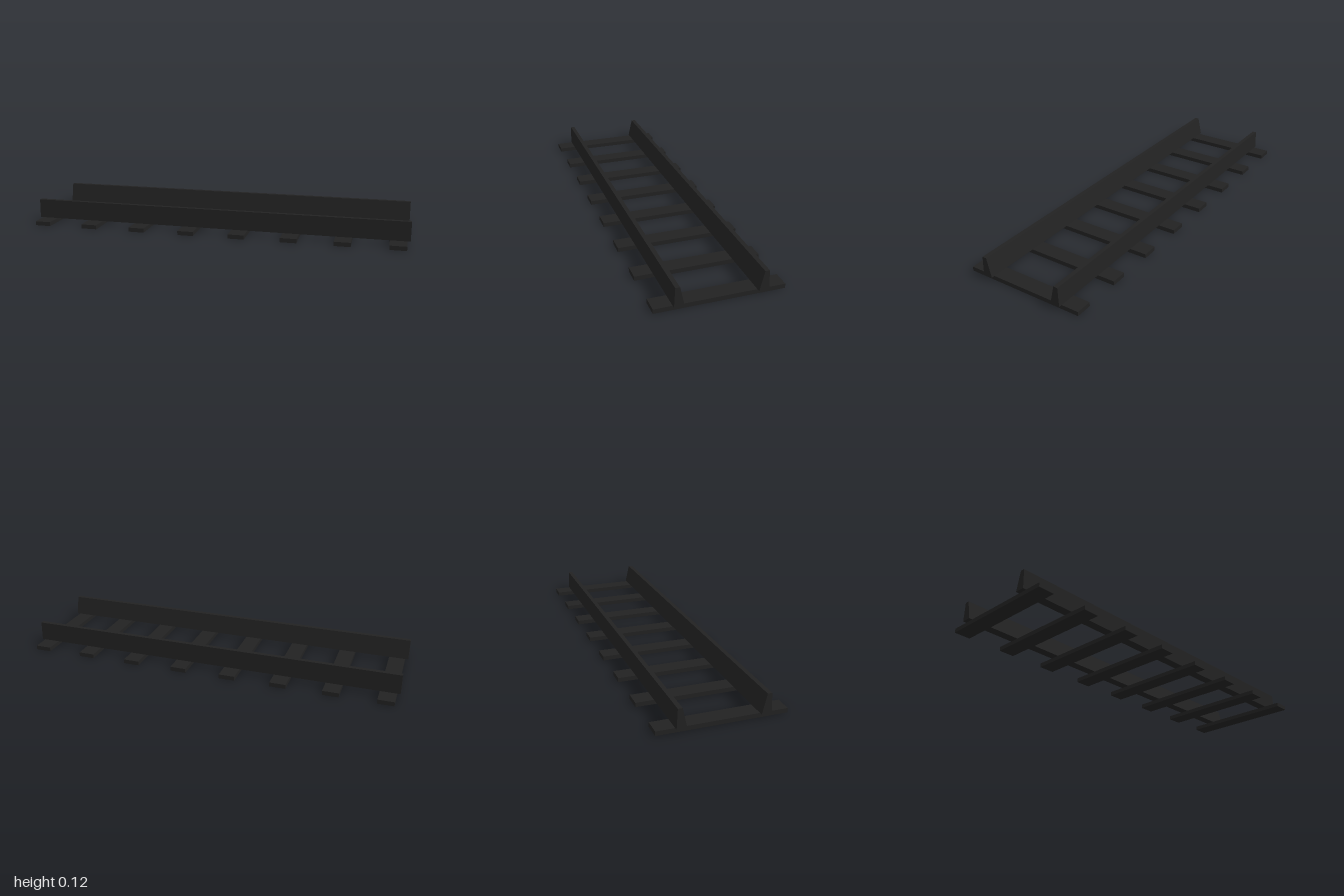
import * as THREE from 'three';

export function createModel() {
  const track = new THREE.Group();
  track.name = 'railwayTrack';
  const darkIron = new THREE.MeshStandardMaterial({ name: 'darkIron', color: 0x222222 });

  // Sleepers, evenly spaced along the track
  const count = 8, endX = 0.941, thickness = 0.022;
  const sleeperGeometry = new THREE.BoxGeometry(0.084, thickness, 0.63);
  for (let i = 0; i < count; i++) {
    const sleeper = new THREE.Mesh(sleeperGeometry, darkIron);
    sleeper.name = 'sleeper' + (i + 1);
    sleeper.position.set(-endX + (2 * endX * i) / (count - 1), thickness / 2, 0);
    track.add(sleeper);
  }

  // Rail: tapered section with a steep outer and a sloping inner side,
  // drawn with shape x = -z, then turned to run along x
  const section = new THREE.Shape([
    [-0.225, thickness], [-0.176, thickness], [-0.199, 0.122], [-0.221, 0.122],
  ].map(([x, y]) => new THREE.Vector2(x, y)));
  const railGeometry = new THREE.ExtrudeGeometry(section, { depth: 2, bevelEnabled: false });
  railGeometry.translate(0, 0, -1).rotateY(Math.PI / 2);

  // The back rail is the front one turned half round
  for (const [name, turn] of [['frontRail', 0], ['backRail', Math.PI]]) {
    const rail = new THREE.Mesh(railGeometry, darkIron);
    rail.name = name;
    rail.rotation.y = turn;
    track.add(rail);
  }
  return track;
}
